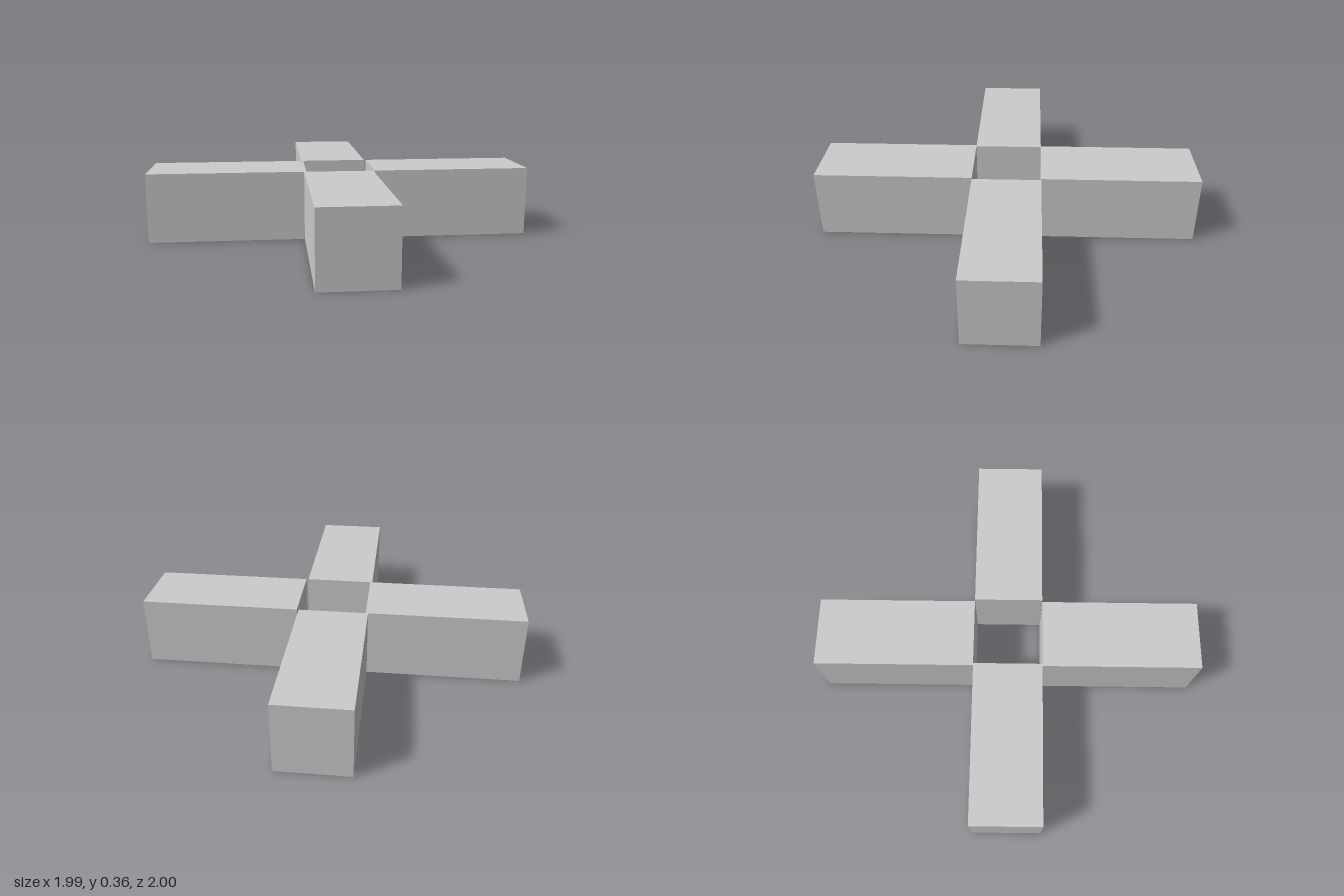
import * as THREE from 'three';

const WIDTH = 0.358; // square section of every arm

export function createModel() {
  const model = new THREE.Group();
  model.name = 'crossOfBeams';
  const material = new THREE.MeshStandardMaterial({ color: 0xcccccc, flatShading: true });

  // A beam lying on the ground, given its x and z extents
  const addBeam = (name, x0, x1, z0, z1) => {
    const beam = new THREE.Mesh(new THREE.BoxGeometry(x1 - x0, WIDTH, z1 - z0), material);
    beam.name = name;
    beam.position.set((x0 + x1) / 2, WIDTH / 2, (z0 + z1) / 2);
    model.add(beam);
  };

  // Side arms, leaving an open square in the middle
  const half = WIDTH / 2;
  addBeam('leftArm', 0.177, 0.994, -half, half);
  addBeam('rightArm', -0.994, -0.179, -half, half);

  // Front and back arms, set slightly off centre
  const shift = -0.012;
  addBeam('frontArm', shift - half, shift + half, half, 1);
  addBeam('backArm', shift - half, shift + half, -1, -half);

  return model;
}
